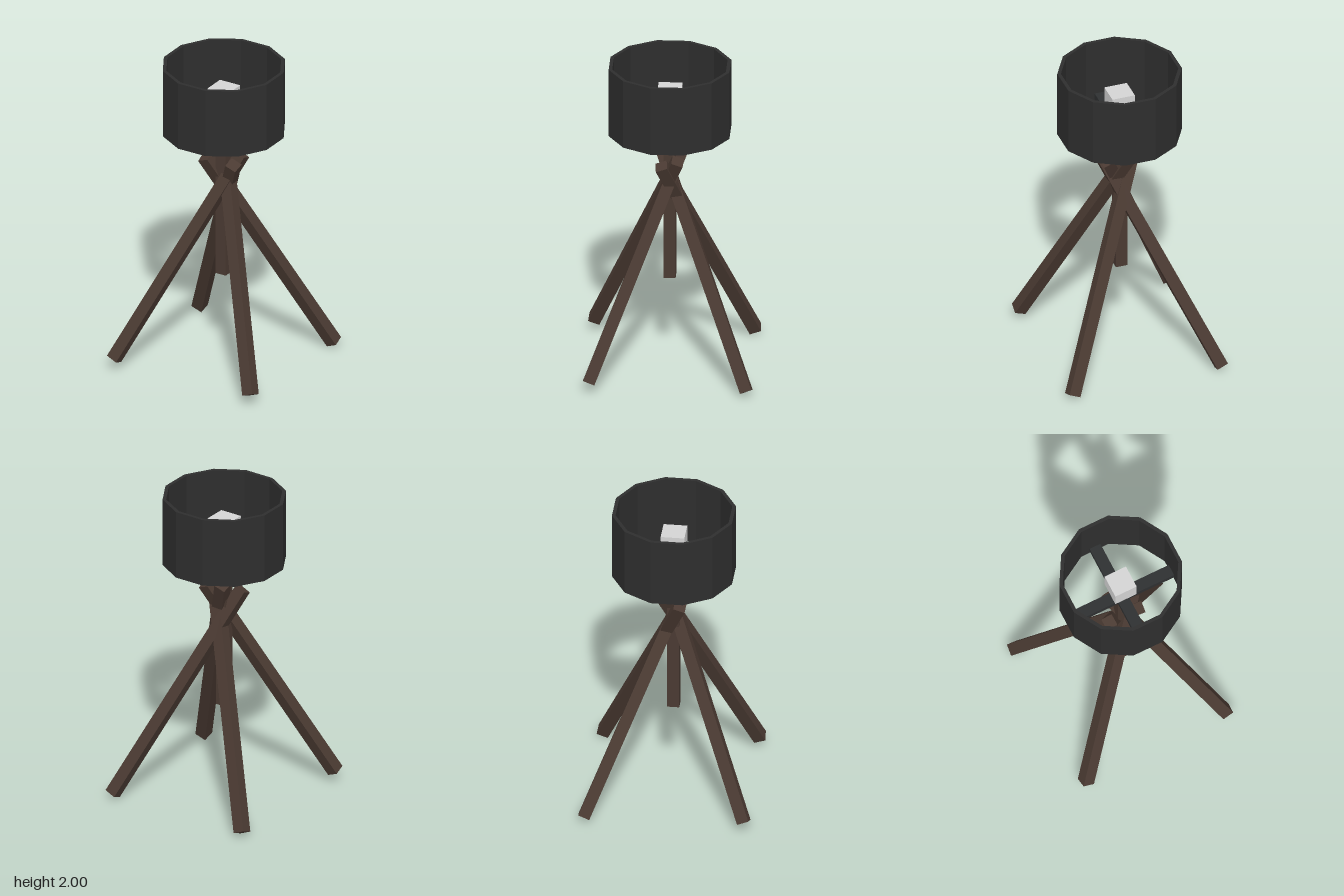
import * as THREE from 'three';

export function createModel() {
  const model = new THREE.Group();
  const wood = new THREE.MeshStandardMaterial({ color: 0x4a3a32 });
  wood.name = 'dark wood';
  const shadeMat = new THREE.MeshStandardMaterial({ color: 0x2e2e2e });
  shadeMat.name = 'black shade';
  const metal = new THREE.MeshStandardMaterial({ color: 0x2e3031 });
  metal.name = 'dark metal';
  const white = new THREE.MeshStandardMaterial({ color: 0xd4d4d4 });
  white.name = 'bulb white';

  const add = (name, geometry, material, parent = model) => {
    const mesh = new THREE.Mesh(geometry, material);
    mesh.name = name;
    parent.add(mesh);
    return mesh;
  };

  // Twelve-sided shade, open at top and bottom, with flats facing the axes
  const ring = (apothem) => Array.from({ length: 12 }, (_, i) => {
    const a = (i + 0.5) * Math.PI / 6;
    const r = apothem / Math.cos(Math.PI / 12);
    return new THREE.Vector2(r * Math.cos(a), r * Math.sin(a));
  });
  const outline = new THREE.Shape(ring(0.372));
  outline.holes.push(new THREE.Path(ring(0.35)));
  const shadeGeo = new THREE.ExtrudeGeometry(outline, { depth: 0.445, bevelEnabled: false });
  shadeGeo.rotateX(-Math.PI / 2);
  add('shade', shadeGeo, shadeMat).position.y = 1.555;

  // Crossed bars holding the shade: one full bar and two halves
  const spokes = new THREE.Group();
  spokes.name = 'shadeSpokes';
  spokes.position.y = 1.605;
  model.add(spokes);
  add('sideSpoke', new THREE.BoxGeometry(0.704, 0.04, 0.074), metal, spokes);
  for (const s of [-1, 1]) {
    add(s > 0 ? 'frontSpoke' : 'backSpoke', new THREE.BoxGeometry(0.074, 0.04, 0.315), metal, spokes)
      .position.z = s * 0.1945;
  }

  // Central post and bulb
  add('post', new THREE.BoxGeometry(0.074, 1.135, 0.074), wood).position.y = 1.1525;
  add('bulb', new THREE.BoxGeometry(0.147, 0.135, 0.147), white).position.y = 1.7825;

  // Square legs that cross near the top, each from foot centre to top centre
  const legs = {
    frontLeftLeg: [[0.488, 0.065, 0.473], [-0.045, 1.43, -0.08]],
    frontRightLeg: [[-0.488, 0.07, 0.493], [0.1, 1.395, -0.053]],
    backLeftLeg: [[0.488, 0.03, -0.498], [-0.103, 1.37, 0.05]],
    backRightLeg: [[-0.485, 0.03, -0.498], [0.1, 1.36, 0.048]],
  };
  const up = new THREE.Vector3(0, 1, 0);
  for (const [name, [f, t]] of Object.entries(legs)) {
    const foot = new THREE.Vector3(...f);
    const top = new THREE.Vector3(...t);
    const span = top.clone().sub(foot);
    const leg = add(name, new THREE.BoxGeometry(0.074, span.length(), 0.074), wood);
    leg.position.copy(foot).lerp(top, 0.5);
    leg.quaternion.setFromUnitVectors(up, span.normalize());
  }
  return model;
}
